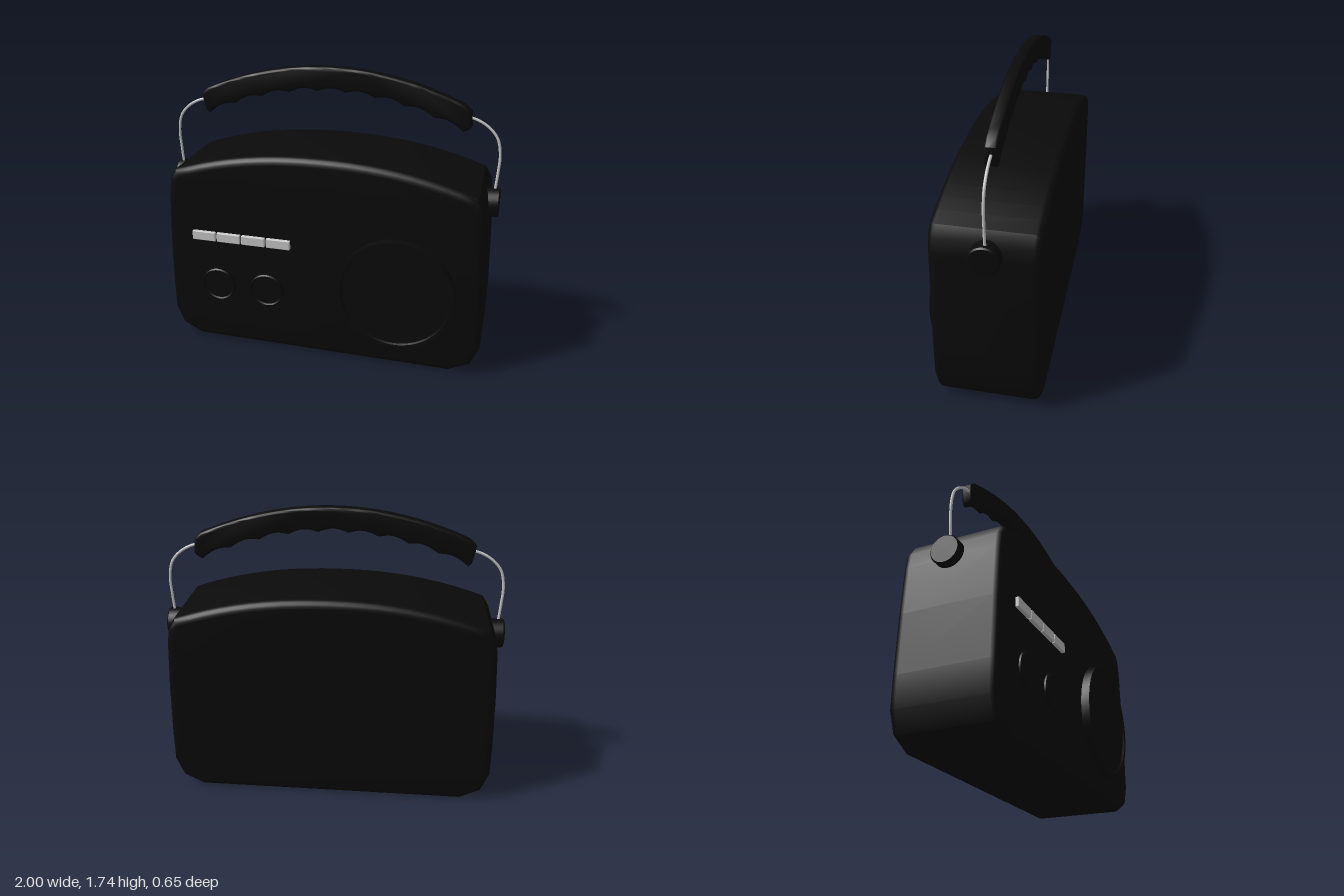
import * as THREE from 'three';
import { toCreasedNormals } from 'three/addons/utils/BufferGeometryUtils.js';
import { RoundedBoxGeometry } from 'three/addons/geometries/RoundedBoxGeometry.js';

const black = new THREE.MeshStandardMaterial({ color: 0x0a0a0a });
const grey = new THREE.MeshStandardMaterial({ color: 0xcccccc });

const BODY_FRONT = 0.275, BODY_BACK = -0.322, HANDLE_Z = -0.034;

function addMesh(parent, name, geometry, material, x = 0, y = 0, z = 0) {
  const mesh = new THREE.Mesh(geometry, material);
  mesh.name = name;
  mesh.position.set(x, y, z);
  parent.add(mesh);
  return mesh;
}

// Extrude an outline between two z planes, rounding the edges inward
function roundedSlab(points, back, front, round, crease) {
  const geometry = new THREE.ExtrudeGeometry(new THREE.Shape(points), {
    depth: front - back - 2 * round, bevelThickness: round, bevelSize: round,
    bevelOffset: -round, bevelSegments: 5,
  });
  geometry.translate(0, 0, back + round);
  return toCreasedNormals(geometry, crease);
}

// Turned part whose axis points to +z
function turned(profile, segments = 48) {
  const geometry = new THREE.LatheGeometry(profile.map(([r, h]) => new THREE.Vector2(r, h)), segments);
  geometry.rotateX(Math.PI / 2);
  return toCreasedNormals(geometry, 0.6);
}

function bodyOutline() {
  const side = [[0.8, 0], [0.925, 0.062], [0.972, 0.18], [0.972, 0.36], [0.962, 0.7],
    [0.946, 0.98], [0.932, 1.07], [0.895, 1.13]];
  const points = side.map(([x, y]) => new THREE.Vector2(x, y));
  // Gently arched top
  for (let i = 1; i < 20; i++) {
    const t = 1 - i / 10;
    points.push(new THREE.Vector2(0.895 * t, 1.275 - 0.145 * Math.pow(Math.abs(t), 2.2)));
  }
  side.reverse().forEach(([x, y]) => points.push(new THREE.Vector2(-x, y)));
  return points;
}

function gripOutline() {
  const points = [];
  // Underside with finger scallops, from left to right
  const n = 72, scallops = 9;
  for (let i = 0; i <= n; i++) {
    const x = -0.765 + 1.53 * i / n;
    const wave = 0.02 * Math.abs(Math.sin(Math.PI * scallops * i / n));
    points.push(new THREE.Vector2(x, 1.427 + 0.18 * (1 - (x / 0.765) ** 2) - 0.012 + wave));
  }
  // Rounded end, smooth top, rounded end
  points.push(new THREE.Vector2(0.8, 1.435), new THREE.Vector2(0.812, 1.455), new THREE.Vector2(0.804, 1.535));
  for (let i = 0; i <= 32; i++) {
    const x = 0.765 - 1.53 * i / 32;
    points.push(new THREE.Vector2(x, 1.737 - 0.285 * x * x));
  }
  points.push(new THREE.Vector2(-0.804, 1.535), new THREE.Vector2(-0.8, 1.5), new THREE.Vector2(-0.785, 1.435));
  return points;
}

export function createModel() {
  const model = new THREE.Group();
  model.name = 'portableRadio';

  addMesh(model, 'body', roundedSlab(bodyOutline(), BODY_BACK, BODY_FRONT, 0.045, 0.6), black);

  // Speaker: raised rim around a slightly recessed disc
  addMesh(model, 'speaker', turned([[0.348, -0.02], [0.348, 0.05], [0.325, 0.05],
    [0.32, 0.038], [0, 0.038]], 64), black, 0.467, 0.495, BODY_FRONT);

  // Tuning knobs
  for (const x of [-0.645, -0.332]) {
    addMesh(model, 'knob', turned([[0.107, -0.02], [0.107, 0.01], [0.1, 0.018],
      [0.092, 0.012], [0, 0.012]]), black, x, 0.402, BODY_FRONT);
  }

  // Row of push buttons
  for (let i = 0; i < 4; i++) {
    addMesh(model, 'button', new RoundedBoxGeometry(0.148, 0.058, 0.05, 2, 0.005),
      grey, -0.721 + i * 0.157, 0.728, BODY_FRONT - 0.005);
  }

  // Carrying handle
  const handle = new THREE.Group();
  handle.name = 'handle';
  model.add(handle);
  addMesh(handle, 'grip', roundedSlab(gripOutline(), HANDLE_Z - 0.035, HANDLE_Z + 0.035, 0.016, 0.7), black);

  for (const side of [-1, 1]) {
    // Wire from the grip end down to the pivot
    const wireZ = side < 0 ? -0.02 : -0.037;
    const path = new THREE.CatmullRomCurve3([[0.77, 1.5], [0.83, 1.487], [0.9, 1.448], [0.955, 1.385],
      [0.977, 1.29], [0.974, 1.18], [0.964, 1.04]]
      .map(([x, y]) => new THREE.Vector3(side * x, y, wireZ)));
    addMesh(handle, 'handleWire', new THREE.TubeGeometry(path, 40, 0.008, 8), grey);

    // Round pivot cap on the side of the body
    const cap = addMesh(handle, 'pivotCap', turned([[0.085, -0.04], [0.085, 0.032],
      [0.078, 0.04], [0, 0.04]], 40), black, side * 0.96, 1.003, HANDLE_Z);
    cap.rotation.y = side * Math.PI / 2;
  }
  return model;
}
